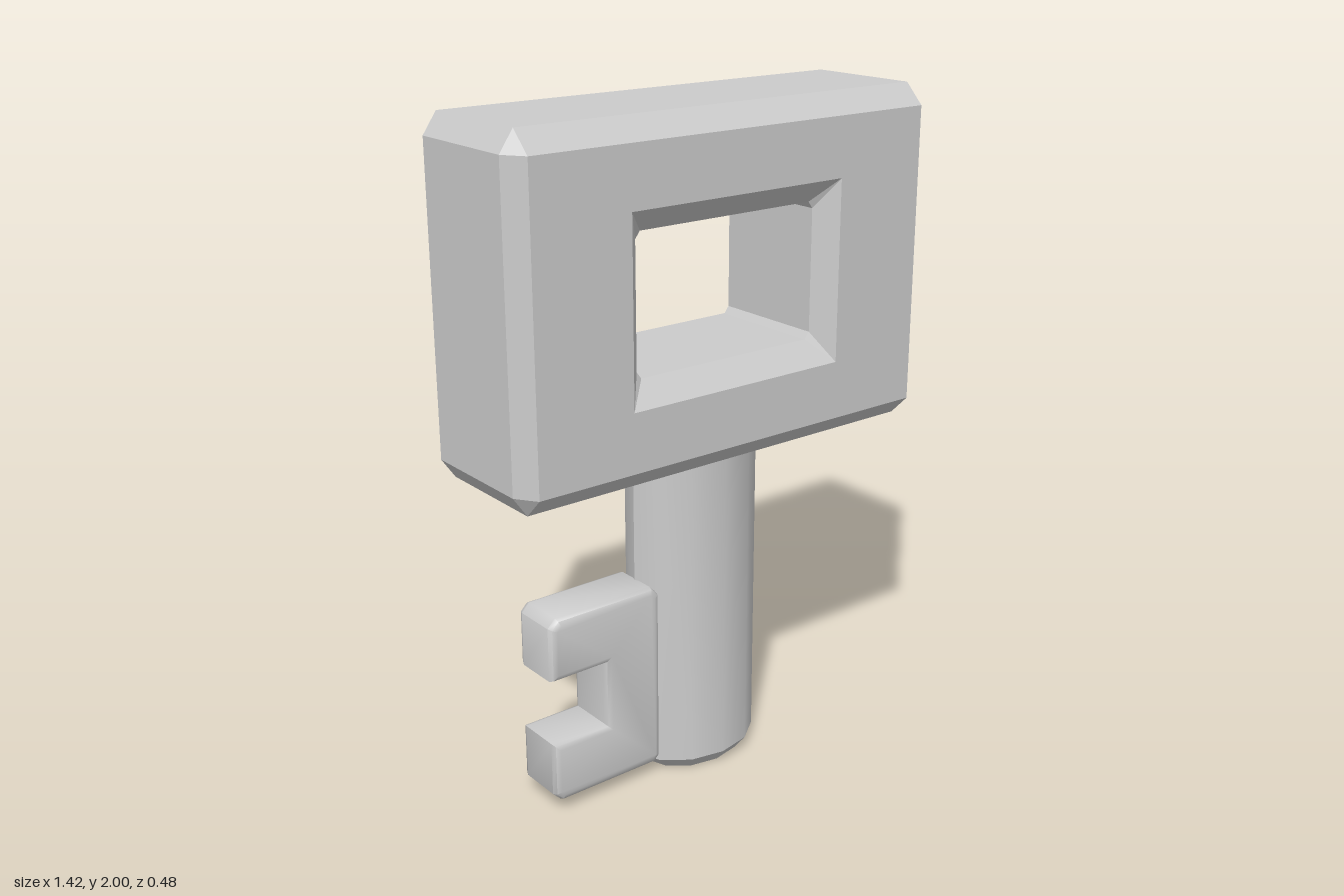
import * as THREE from 'three';
import { toCreasedNormals } from 'three/addons/utils/BufferGeometryUtils.js';

// Eight-point rectangle loop with cut corners (cx, cy), counter-clockwise seen from +z
function ring(hx, hy, cx, cy, z) {
  const ix = hx - cx, iy = hy - cy;
  return [[hx, -iy], [hx, iy], [ix, hy], [-ix, hy], [-hx, iy], [-hx, -iy], [-ix, -hy], [ix, -hy]]
    .map(([x, y]) => [x, y, z]);
}

// Joins the rings into a closed, flat-faced band
function closedLoft(rings) {
  const index = [], n = rings[0].length;
  rings.forEach((_, i) => {
    const next = (i + 1) % rings.length;
    for (let j = 0; j < n; j++) {
      const k = (j + 1) % n;
      const a = i * n + j, b = i * n + k, c = next * n + k, d = next * n + j;
      index.push(a, b, c, a, c, d);
    }
  });
  const geo = new THREE.BufferGeometry();
  geo.setAttribute('position', new THREE.Float32BufferAttribute(rings.flat(2), 3));
  geo.setIndex(index);
  const flat = geo.toNonIndexed();
  flat.computeVertexNormals();
  return flat;
}

export function createModel() {
  const model = new THREE.Group();
  model.name = 'key';
  const metal = new THREE.MeshStandardMaterial({ color: 0xcccccc });
  metal.name = 'grey metal';

  const add = (name, geo, x, y, z) => {
    const mesh = new THREE.Mesh(geo, metal);
    mesh.name = name;
    mesh.position.set(x, y, z);
    model.add(mesh);
  };

  // Bevelled rectangular handle with a bevelled window through it
  add('handle', closedLoft([
    ring(0.71, 0.5, 0.042, 0.06, -0.18),
    ring(0.71, 0.5, 0.042, 0.06, 0.18),
    ring(0.668, 0.44, 0, 0, 0.24),
    ring(0.363, 0.267, 0, 0, 0.24),
    ring(0.31, 0.2, 0.015, 0.02, 0.18),
    ring(0.31, 0.2, 0.015, 0.02, -0.18),
    ring(0.363, 0.267, 0, 0, -0.24),
    ring(0.668, 0.44, 0, 0, -0.24),
  ]), 0, 1.5, 0);

  // Oval shaft with a chamfered tip
  const profile = [[0, 0], [0.81, 0], [1, 0.04], [1, 1.02]].map(p => new THREE.Vector2(...p));
  const shaft = new THREE.LatheGeometry(profile, 12);
  shaft.scale(0.21, 1, 0.16);
  add('shaft', toCreasedNormals(shaft, 0.64), 0.01, 0, 0.01);

  // Notched bit with softened edges
  const outline = new THREE.Shape([
    [-0.17, 0.06], [-0.17, 0.595], [-0.195, 0.62], [-0.525, 0.62], [-0.55, 0.595], [-0.55, 0.43],
    [-0.365, 0.43], [-0.365, 0.23], [-0.55, 0.23], [-0.55, 0.065], [-0.525, 0.04], [-0.19, 0.04],
  ].map(p => new THREE.Vector2(...p)));
  const bevel = 0.02, thickness = 0.17;
  const bit = new THREE.ExtrudeGeometry(outline, {
    depth: thickness - 2 * bevel, bevelEnabled: true,
    bevelThickness: bevel, bevelSize: bevel, bevelOffset: -bevel, bevelSegments: 2,
  });
  bit.translate(0, 0, bevel - thickness / 2);
  add('bit', toCreasedNormals(bit, 0.85), 0, 0, 0.01);

  return model;
}
